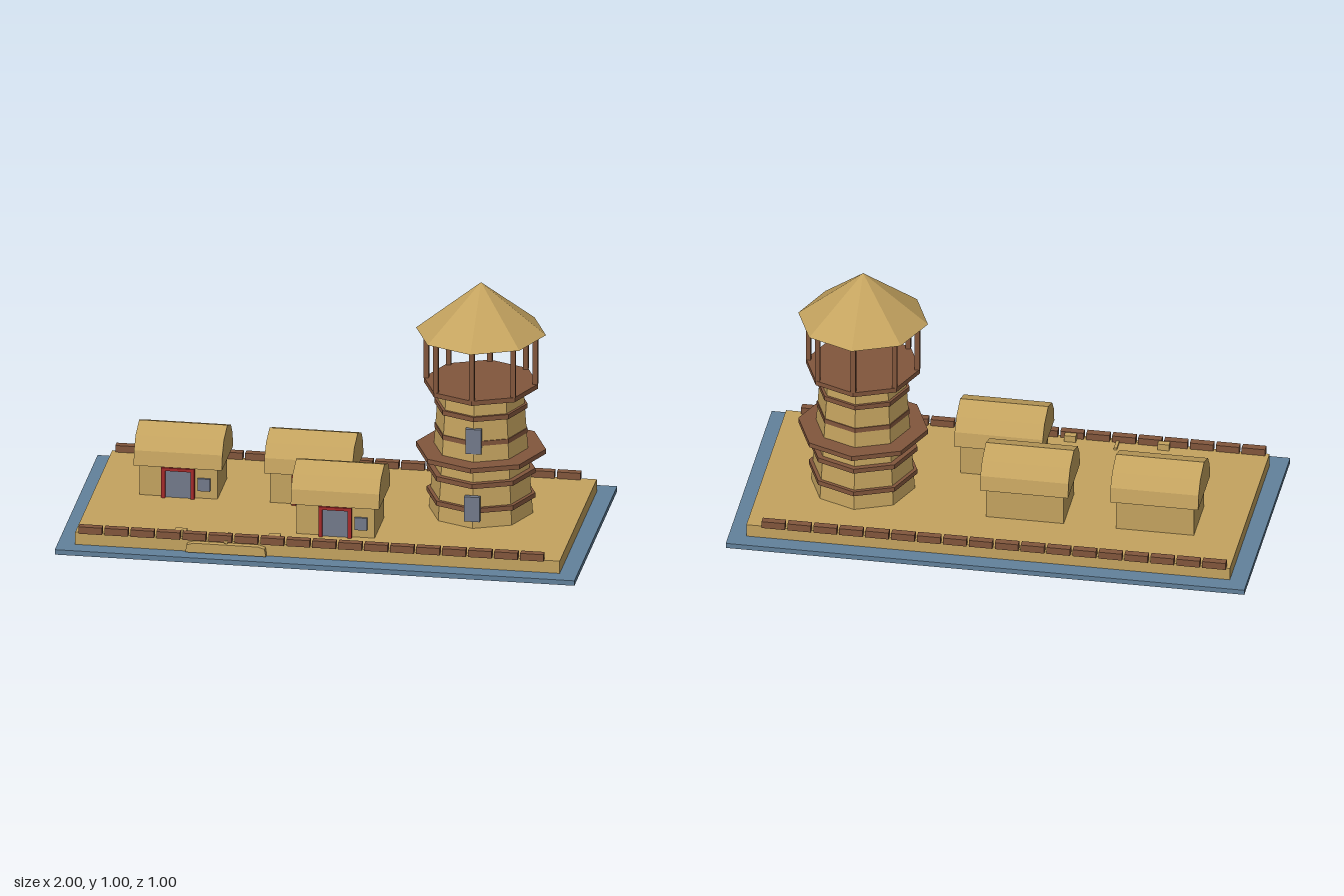
import * as THREE from 'three';

const mat = (name, color) => {
  const m = new THREE.MeshStandardMaterial({ color });
  m.name = name;
  return m;
};

export function createModel() {
  const sand = mat('sand', 0xc4a35f);
  const wood = mat('wood', 0x82563c);
  const water = mat('water', 0x62819b);
  const glass = mat('greyGlass', 0x727a8a);
  const red = mat('redFrame', 0xa52a2a);
  for (const m of [sand, wood]) m.flatShading = true;

  const model = new THREE.Group();
  model.name = 'beachOutpost';

  const add = (parent, name, geometry, material, x, y, z) => {
    const mesh = new THREE.Mesh(geometry, material);
    mesh.name = name;
    mesh.position.set(x, y, z);
    parent.add(mesh);
    return mesh;
  };
  const box = (parent, name, material, w, h, d, x, y, z) =>
    add(parent, name, new THREE.BoxGeometry(w, h, d), material, x, y, z);
  const group = (name, x, y, z) => {
    const g = new THREE.Group();
    g.name = name;
    g.position.set(x, y, z);
    model.add(g);
    return g;
  };

  // Water slab and raised sand
  box(model, 'waterBase', water, 2, 0.02, 1, 0, 0.01, 0);
  box(model, 'sandGround', sand, 1.865, 0.05, 0.865, 0, 0.045, 0);

  // Rows of logs along the front and back edges
  for (const side of [1, -1]) {
    const row = group(side > 0 ? 'frontLogs' : 'backLogs', 0, 0.083, side * 0.43);
    for (let i = 0; i < 18; i++) box(row, 'log', wood, 0.09, 0.028, 0.03, -0.873 + i * 0.1, 0, 0);
  }

  // Arched roof profile, drawn in z and y and extruded along x
  const half = [[0.13, 0], [0.12, 0.058], [0.083, 0.106]];
  const outline = [...half, [0, 0.136], ...half.map(([z, y]) => [-z, y]).reverse()];
  const roofShape = new THREE.Shape(outline.map(([z, y]) => new THREE.Vector2(z, y)));
  const roofGeometry = new THREE.ExtrudeGeometry(roofShape, { depth: 0.34, bevelEnabled: false });
  roofGeometry.translate(0, 0, -0.17).rotateY(-Math.PI / 2);

  // Huts
  for (const [x, z] of [[-0.605, -0.104], [-0.103, -0.104], [0.05, 0.2]]) {
    const hut = group('hut', x, 0.07, z);
    box(hut, 'walls', sand, 0.3, 0.126, 0.22, 0, 0.063, 0);
    add(hut, 'roof', roofGeometry, sand, 0, 0.125, 0);
    box(hut, 'door', glass, 0.1, 0.108, 0.009, 0, 0.054, 0.1145);
    for (const s of [-1, 1]) box(hut, 'doorPost', red, 0.015, 0.122, 0.02, s * 0.056, 0.061, 0.12);
    box(hut, 'doorLintel', red, 0.1, 0.012, 0.02, 0, 0.116, 0.12);
    box(hut, 'window', glass, 0.048, 0.05, 0.01, 0.098, 0.057, 0.115);
  }

  // Watchtower: eight-sided body, hoops, decks, posts and pointed roof
  const tower = group('watchtower', 0.55, 0, -0.05);
  add(tower, 'body', new THREE.CylinderGeometry(0.163, 0.2, 0.515, 8), sand, 0, 0.3275, 0);
  const rings = [[0.143, 0.209], [0.243, 0.209], [0.323, 0.25], [0.405, 0.179], [0.505, 0.179], [0.587, 0.22]];
  for (const [y, r] of rings)
    add(tower, r > 0.21 ? 'deck' : 'hoop', new THREE.CylinderGeometry(r, r, 0.019, 8), wood, 0, y, 0);
  for (let i = 0; i < 8; i++) {
    const a = (i * Math.PI) / 4;
    box(tower, 'roofPost', wood, 0.019, 0.204, 0.019, 0.21 * Math.sin(a), 0.698, 0.21 * Math.cos(a));
  }
  add(tower, 'towerRoof', new THREE.ConeGeometry(0.25, 0.2, 8), sand, 0, 0.897, 0);
  box(tower, 'lowerDoor', glass, 0.06, 0.1, 0.02, 0, 0.152, 0.203);
  box(tower, 'upperWindow', glass, 0.06, 0.1, 0.02, 0, 0.415, 0.17);

  // Small sand step at the front edge with two low mounds
  const step = group('sandStep', -0.35, 0, 0);
  const stepShape = new THREE.Shape();
  stepShape.moveTo(-0.155, 0.022);
  stepShape.lineTo(-0.15, 0.052);
  stepShape.lineTo(-0.125, 0.06);
  stepShape.lineTo(0.125, 0.06);
  stepShape.lineTo(0.15, 0.052);
  stepShape.lineTo(0.155, 0.022);
  add(step, 'stepFace', new THREE.ExtrudeGeometry(stepShape, { depth: 0.026, bevelEnabled: false }), sand, 0, 0.003, 0.431);
  box(step, 'ridge', sand, 0.012, 0.012, 0.09, 0, 0.072, 0.405);
  for (const s of [-1, 1]) box(step, 'mound', sand, 0.045, 0.026, 0.025, s * 0.18, 0.083, 0.4);

  return model;
}
